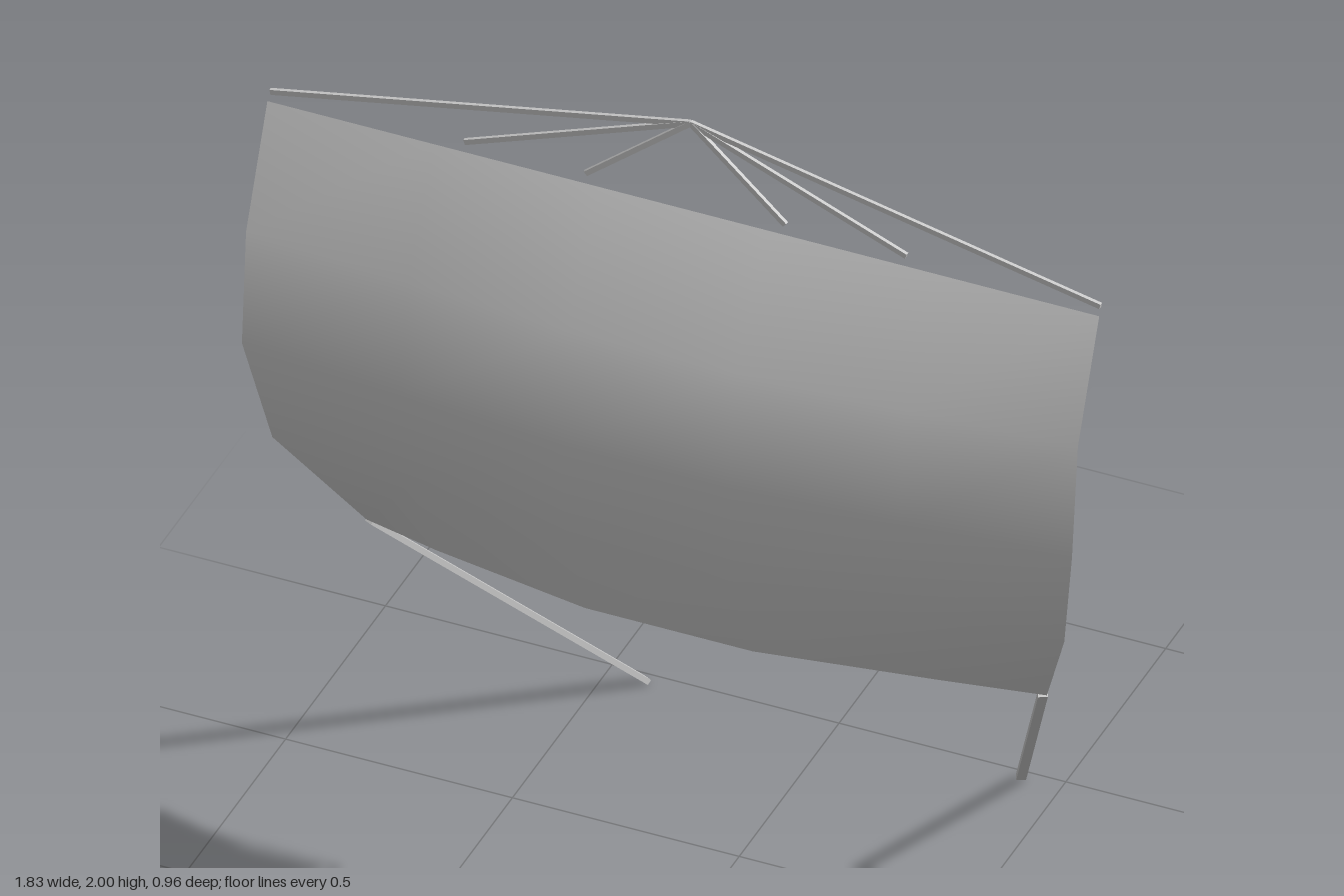
import * as THREE from 'three';

const grey = new THREE.MeshStandardMaterial({ color: 0xcccccc, side: THREE.DoubleSide });

// Square-cut rope between two points
function rope(name, from, to, width, height) {
  const a = new THREE.Vector3(...from);
  const b = new THREE.Vector3(...to);
  const mesh = new THREE.Mesh(new THREE.BoxGeometry(width, height, a.distanceTo(b)), grey);
  mesh.position.copy(a).add(b).multiplyScalar(0.5);
  mesh.lookAt(b);
  mesh.name = name;
  return mesh;
}

// Billowing sail: one entry per row, top to bottom
function sail() {
  const rows = [
    { y: 1.805, edgeY: 1.805, z: 0.28, edgeZ: 0.28, halfWidth: 0.917 },
    { y: 1.55, edgeY: 1.55, z: 0.435, edgeZ: 0.387, halfWidth: 0.917 },
    { y: 1.29, edgeY: 1.29, z: 0.477, edgeZ: 0.412, halfWidth: 0.915 },
    { y: 1.04, edgeY: 1.03, z: 0.44, edgeZ: 0.355, halfWidth: 0.873 },
    { y: 0.803, edgeY: 0.733, z: 0.352, edgeZ: 0.163, halfWidth: 0.75 },
  ];
  const columns = [0.917, 0.55, 0.185];
  const zBlend = [1, 0.46, 0];
  const yBlend = [1, 0.3, 0];
  const geo = new THREE.PlaneGeometry(2, 2, 5, 4);
  const pos = geo.attributes.position;
  for (let i = 0; i < pos.count; i++) {
    const row = rows[Math.floor(i / 6)];
    const col = i % 6;
    const k = Math.min(col, 5 - col); // 0 at the edge, 2 beside the middle
    const x = k === 0 ? row.halfWidth : columns[k];
    pos.setXYZ(
      i,
      col < 3 ? -x : x,
      THREE.MathUtils.lerp(row.y, row.edgeY, yBlend[k]),
      THREE.MathUtils.lerp(row.z, row.edgeZ, zBlend[k]),
    );
  }
  geo.computeVertexNormals();
  const mesh = new THREE.Mesh(geo, grey);
  mesh.name = 'sail';
  return mesh;
}

export function createModel() {
  const model = new THREE.Group();
  model.name = 'riggedSail';
  model.add(sail());

  for (const side of [-1, 1]) {
    const label = side > 0 ? 'left' : 'right';

    // Fan of ropes meeting above the sail
    [0.22, 0.487, 0.915].forEach((x, i) => {
      model.add(rope(`${label}TopRope${i + 1}`, [0, 1.994, 0.243], [side * x, 1.822, 0.268], 0.008, 0.012));
    });

    // Long rope from the lower corner, running back and down
    model.add(rope(`${label}LowerRope`, [side * 0.742, 0.735, 0.165], [side * 0.413, 0.008, -0.473], 0.02, 0.012));
  }
  return model;
}
